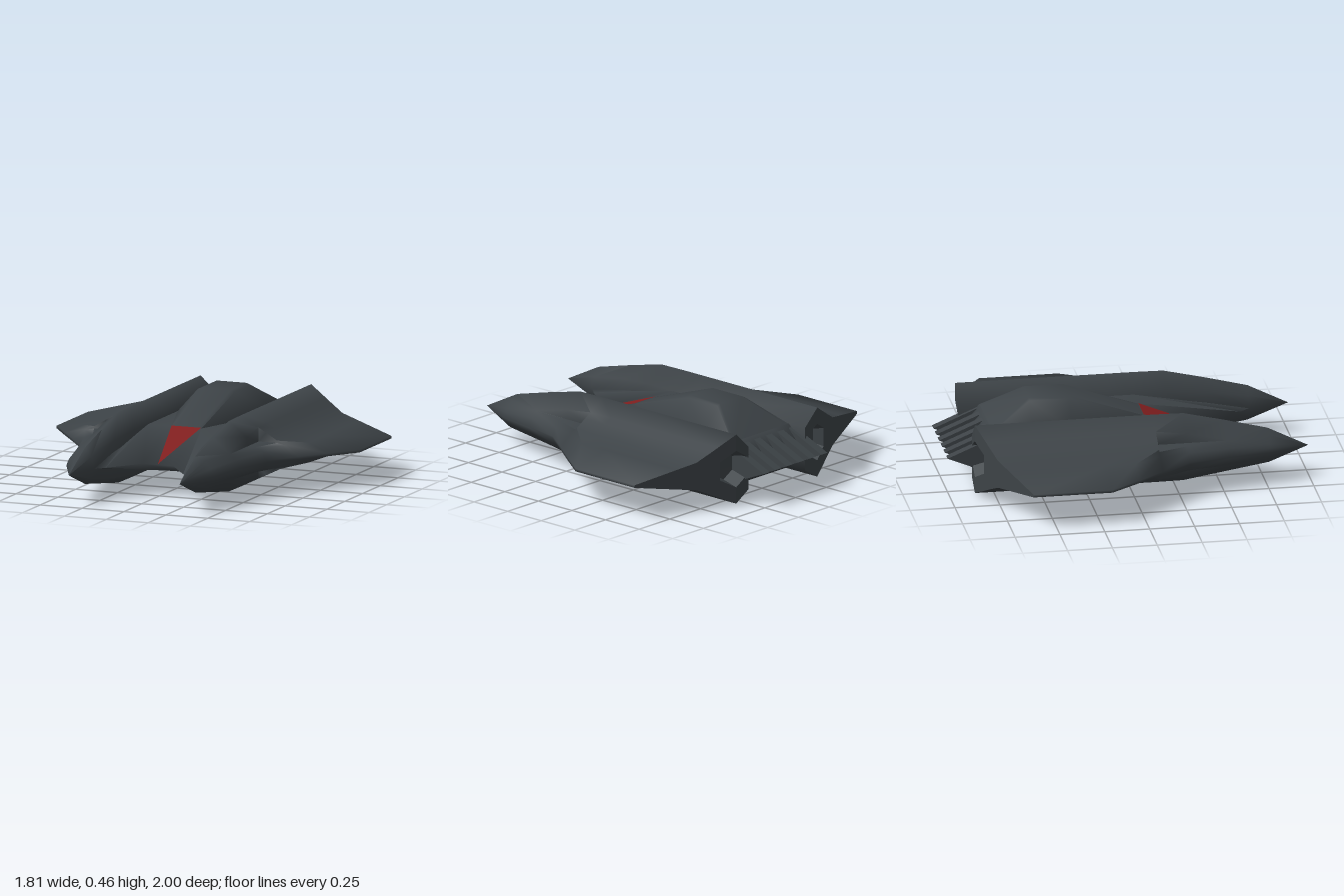
import * as THREE from 'three';
import { toCreasedNormals } from 'three/addons/utils/BufferGeometryUtils.js';

const hullGrey = new THREE.MeshStandardMaterial({ color: 0x3d4347 });
hullGrey.name = 'hullGrey';
const markRed = new THREE.MeshStandardMaterial({ color: 0x811f1f, side: THREE.DoubleSide });
markRed.name = 'markRed';

// Skin a row of closed loops of [x, y, z] points.
function loft(loops) {
  const n = loops[0].length, index = [];
  for (let i = 0; i < loops.length - 1; i++) {
    for (let j = 0; j < n; j++) {
      const a = i * n + j, b = i * n + (j + 1) % n;
      index.push(a, b, b + n, a, b + n, a + n);
    }
  }
  const g = new THREE.BufferGeometry();
  g.setAttribute('position', new THREE.Float32BufferAttribute(loops.flat(2), 3));
  g.setIndex(index);
  return g;
}

function reverse(g) {
  const a = Array.from(g.index.array);
  for (let i = 0; i < a.length; i += 3) [a[i], a[i + 1]] = [a[i + 1], a[i]];
  g.setIndex(a);
  return g;
}

// Make a named mesh; side -1 mirrors it to the other half of the craft.
function part(name, g, crease, side = 1, material = hullGrey) {
  if (side < 0) reverse(g.scale(-1, 1, 1));
  g.deleteAttribute('uv');
  const mesh = new THREE.Mesh(toCreasedNormals(g, crease), material);
  mesh.name = name;
  return mesh;
}

// Swept trailing edge of the wing.
const rearZ = x => -0.86 + 0.4 * Math.max(0, x - 0.33);

// Wing pod section: half outline of [x, height] from inner side to tip, mirrored below.
function podLoop(z, c, inner, half) {
  const low = half.slice().reverse().map(([x, h]) => [x, c - h * (x < 0.3 ? 1.04 : 0.86)]);
  return [[inner, c], ...half.map(([x, h]) => [x, c + h]), ...low]
    .map(([x, y]) => [x, y, z === null ? rearZ(x) : z]);
}

function podLoops() {
  const wing = [[0.23, 0.12], [0.33, 0.214], [0.435, 0.153], [0.48, 0.127], [0.555, 0.085], [0.67, 0.06], [0.905, 0.008]];
  const shoulder = [...wing.slice(0, 6), [0.785, 0.008]];
  return [
    podLoop(0.997, 0.18, 0.33, Array(7).fill([0.33, 0])),
    podLoop(0.77, 0.187, 0.275, [[0.292, 0.06], [0.33, 0.109], [0.38, 0.085], [0.40, 0.068], [0.42, 0.046], [0.432, 0.027], [0.44, 0.002]]),
    podLoop(0.53, 0.195, 0.27, [[0.262, 0.1], [0.33, 0.163], [0.434, 0.08], [0.435, 0.078], [0.436, 0.077], [0.475, 0.048], [0.497, 0.004]]),
    podLoop(0.3, 0.2, 0.265, [[0.235, 0.12], [0.33, 0.212], [0.435, 0.13], [0.435, 0.075], [0.485, 0.075], [0.535, 0.055], [0.555, 0.006]]),
    // notch ends in a small upright wall
    podLoop(0.13, 0.2, 0.25, [[0.23, 0.12], [0.33, 0.214], [0.435, 0.153], [0.435, 0.075], [0.545, 0.075], [0.6, 0.063], [0.675, 0.008]]),
    podLoop(0.13, 0.2, 0.25, [[0.23, 0.12], [0.33, 0.214], [0.435, 0.153], [0.48, 0.127], [0.545, 0.088], [0.6, 0.068], [0.675, 0.008]]),
    podLoop(-0.02, 0.2, 0.24, shoulder),
    podLoop(-0.19, 0.2, 0.23, wing),
    podLoop(null, 0.2, 0.23, wing),
  ];
}

// Hexagon of the exhaust, clockwise from its top corner.
function hexLoop(r, zAt) {
  return Array.from({ length: 6 }, (_, i) => {
    const a = i * Math.PI / 3, x = 0.33 + r * Math.sin(a);
    return [x, 0.215 + r * Math.cos(a), zAt(x)];
  });
}

// One half of the rear wall, bent to follow the trailing edge.
function rearWall(points) {
  const g = new THREE.ShapeGeometry(new THREE.Shape(points.map(p => new THREE.Vector2(p[0], p[1]))));
  const pos = g.attributes.position;
  for (let i = 0; i < pos.count; i++) pos.setZ(i, rearZ(pos.getX(i)));
  return reverse(g);
}

function wingPod(side) {
  const group = new THREE.Group();
  group.name = side > 0 ? 'leftWingPod' : 'rightWingPod';
  const loops = podLoops(), end = loops[loops.length - 1];
  const hex = hexLoop(0.105, rearZ);
  group.add(part('wingShell', loft(loops), 1.52, side));
  // end: 0 inner side, 1 inner top, 2 ridge ... 13 keel, 14 inner bottom
  group.add(part('rearWallInner', rearWall([end[2], end[1], end[0], end[14], end[13], hex[3], hex[4], hex[5], hex[0]]), 0.3, side));
  group.add(part('rearWallOuter', rearWall([...end.slice(2, 14), hex[3], hex[2], hex[1], hex[0]]), 0.3, side));
  group.add(part('exhaust', loft([hex, hexLoop(0.08, () => -0.765), hexLoop(0, () => -0.76)]), 0.5, side));
  return group;
}

// Central body: side profiles placed across x, with a swept notch in the leading edge.
function bodyGeometry() {
  const profile = (x, lead, rear, tail) => [
    [x, 0.32, rear], [x, 0.32, 0.12], [x, 0.18, lead],
    [x, 0.07, 0.12], [x, 0.07, rear], [x, 0.195, tail]];
  const stations = [[0.09, 0.52, -0.74, -0.857], [0.232, 0.715, -0.74, -0.857], [0.278, 0.77, -0.5, -0.5]];
  const left = stations.map(([x, ...r]) => profile(x, ...r));
  const right = stations.map(([x, ...r]) => profile(-x, ...r)).reverse();
  return loft([...right, ...left]);
}

// Raised hump on the body, above (up = 1) or below (up = -1).
function humpGeometry(up, base, peak, flat, zs) {
  const loop = (z, b, t, y) => {
    const drop = y === base ? 0 : up * 0.01;
    const l = [[-b, base - up * 0.01], [-b, base], [-t - 0.02, y - drop], [-t, y],
      [t, y], [t + 0.02, y - drop], [b, base], [b, base - up * 0.01]].map(p => [...p, z]);
    return up > 0 ? l : l.reverse();
  };
  return loft([loop(zs[0], flat, flat - 0.02, base), loop(zs[1], 0.23, flat, peak),
    loop(zs[2], 0.23, flat, peak), loop(zs[3], 0.23, 0.205, base)]);
}

// Wedge-shaped tail fin with closed sides.
function finGeometry(x) {
  const tri = s => [[s, 0.318, -0.72], [s, 0.082, -0.72], [s, 0.2, -1]];
  const mid = s => Array(3).fill([s, 0.2, -0.81]);
  return loft([mid(x - 0.025), tri(x - 0.025), tri(x + 0.025), mid(x + 0.025)]);
}

export function createModel() {
  const model = new THREE.Group();
  model.name = 'spacecraft';
  model.add(wingPod(1), wingPod(-1));
  model.add(part('body', bodyGeometry(), 2.6));
  model.add(part('canopy', humpGeometry(1, 0.32, 0.463, 0.09, [0.12, -0.3, -0.52, -0.74]), 1.2));
  model.add(part('keel', humpGeometry(-1, 0.07, 0.003, 0.11, [0.05, -0.17, -0.52, -0.74]), 1.2));

  // red marking on the sloping nose
  const mark = new THREE.BufferGeometry();
  mark.setAttribute('position', new THREE.Float32BufferAttribute(
    [-0.088, 0.324, 0.121, 0, 0.185, 0.521, 0.088, 0.324, 0.121], 3));
  mark.setIndex([0, 1, 2]);
  model.add(part('noseMarking', mark, 0.3, 1, markRed));

  // row of tail fins
  for (let i = 0; i < 6; i++) model.add(part('tailFin', finGeometry((i - 2.5) * 0.094), 0.6));
  return model;
}
